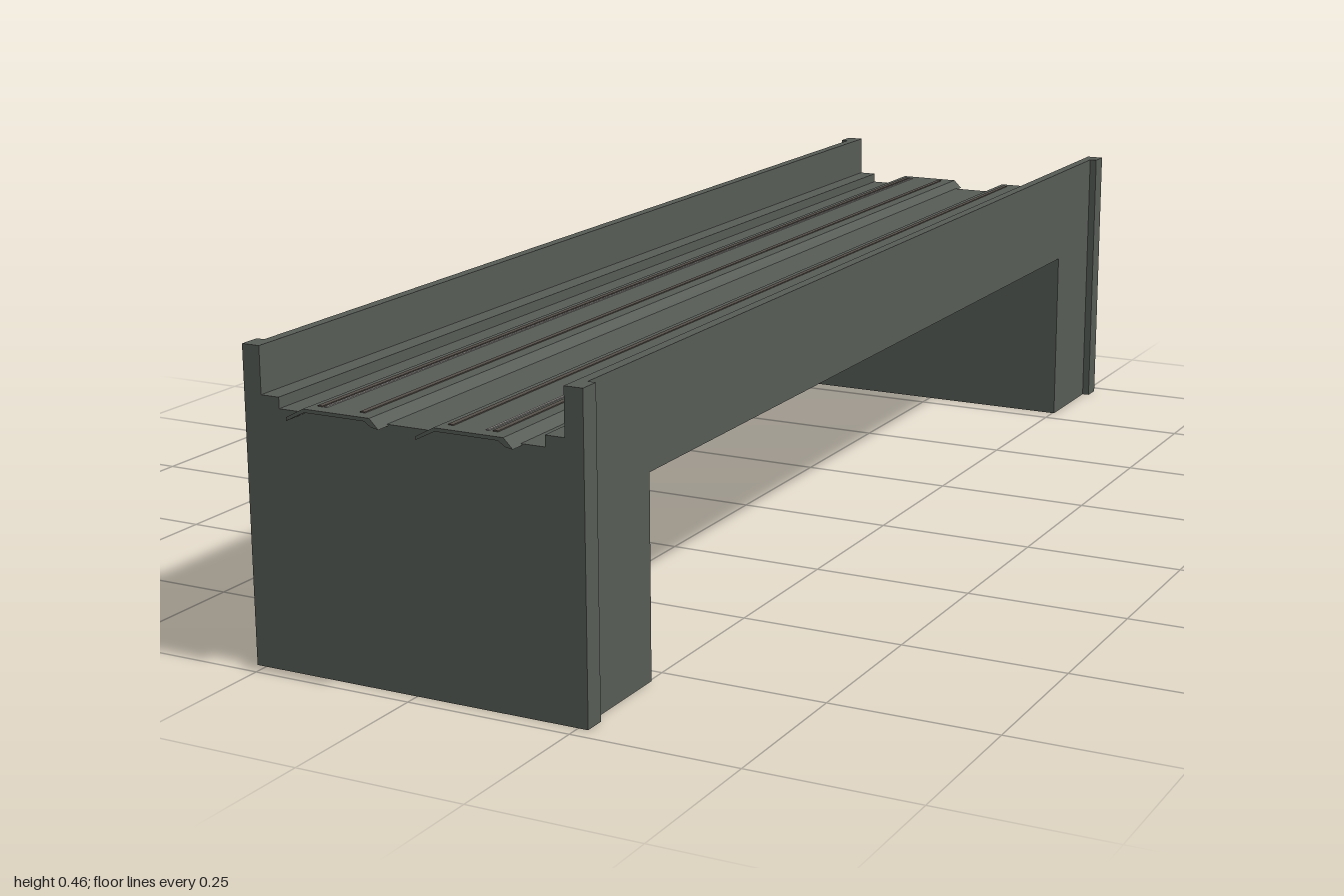
import * as THREE from 'three';

const stone = new THREE.MeshStandardMaterial({ name: 'dark stone', color: 0x565b56 });
const steel = new THREE.MeshStandardMaterial({ name: 'rail steel', color: 0x8c8a86 });
const rust = new THREE.MeshStandardMaterial({ name: 'rail rust', color: 0x56504a });

// Cross-section in x/y, extruded along z and centred on it
function extrudeAlongZ(points, length) {
  const shape = new THREE.Shape(points.map(([x, y]) => new THREE.Vector2(x, y)));
  const geometry = new THREE.ExtrudeGeometry(shape, { depth: length, bevelEnabled: false });
  return geometry.translate(0, 0, -length / 2);
}

export function createModel() {
  const group = new THREE.Group();
  function add(name, geometry, material, x = 0, y = 0, z = 0) {
    const mesh = new THREE.Mesh(geometry, material);
    mesh.name = name;
    mesh.position.set(x, y, z);
    group.add(mesh);
  }

  const W = 0.253, END = 0.977, SOFFIT = 0.297, TOP = 0.459;

  // Deck trough with ledges and parapets
  const half = [[W, SOFFIT], [W, TOP], [0.237, TOP], [0.237, 0.391], [0.208, 0.391], [0.208, 0.375]];
  const mirrored = half.map(([x, y]) => [-x, y]).reverse();
  add('deckAndParapets', extrudeAlongZ([...half, ...mirrored], 2 * END), stone);

  // Abutments and the corner pilasters
  const legDepth = END - 0.785;
  for (const end of [1, -1]) {
    add('abutment', new THREE.BoxGeometry(2 * W, SOFFIT, legDepth), stone,
      0, SOFFIT / 2, end * (END - legDepth / 2));
    for (const side of [1, -1]) {
      add('pilaster', new THREE.BoxGeometry(0.265 - W, TOP, 0.033), stone,
        side * (0.265 + W) / 2, TOP / 2, end * (END - 0.0165));
    }
  }

  // Raised track beds that overhang both ends, each with two rails
  const bed = [[-0.076, 0.367], [-0.046, 0.382], [0.05, 0.382], [0.06, 0.375], [0.072, 0.373],
    [0.058, 0.387], [-0.048, 0.387], [-0.076, 0.372]];
  for (const x of [-0.104, 0.102]) {
    add('trackBed', extrudeAlongZ(bed, 2), stone, x);
    for (const railX of [-0.034, 0.034]) {
      add('rail', new THREE.BoxGeometry(0.008, 0.002, 1.96), rust, x + railX, 0.3875, 0);
    }
    add('railHead', new THREE.BoxGeometry(0.004, 0.002, 1.96), steel, x + (x < 0 ? -0.025 : 0.022), 0.3875, 0);
  }
  return group;
}
